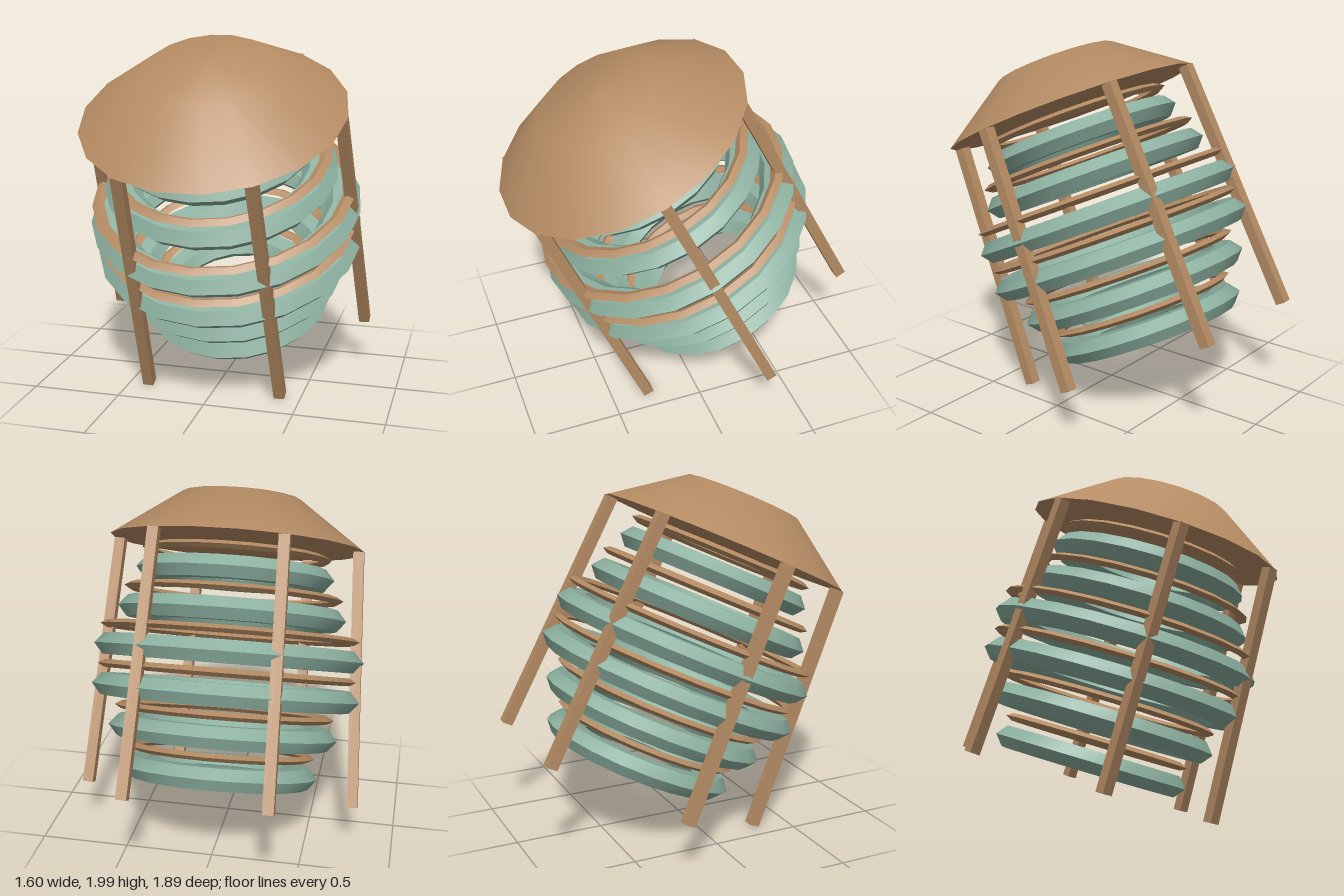
import * as THREE from 'three';
import { toCreasedNormals } from 'three/addons/utils/BufferGeometryUtils.js';

const wood = new THREE.MeshStandardMaterial({ color: 0xb58c64 });
wood.name = 'brown wood';
const teal = new THREE.MeshStandardMaterial({ color: 0x8cb0a0 });
teal.name = 'pale teal';

function addMesh(parent, name, geometry, material) {
  const mesh = new THREE.Mesh(geometry, material);
  mesh.name = name;
  parent.add(mesh);
  return mesh;
}

// Horizontal hoop with a faceted, flattened cross-section
function hoopGeometry(outerRadius, tube, sides, flatten) {
  const g = new THREE.TorusGeometry(outerRadius - tube, tube, sides, 20);
  g.rotateX(Math.PI / 2);
  g.scale(1, flatten, 1);
  return toCreasedNormals(g, 0.6);
}

export function createModel() {
  const model = new THREE.Group();
  model.name = 'tiltedHoopShelter';

  // Everything leans forward together; local y = 0 is the roof rim
  const body = new THREE.Group();
  body.name = 'leaningBody';
  body.position.set(0, 1.605, 0.29);
  body.rotation.x = THREE.MathUtils.degToRad(25);
  model.add(body);

  // Shallow domed roof with a flat underside
  const step = Math.PI / 9;
  const profile = [[0.73, 0], [0.345, 0.277], [0, 0.304]].map(([r, y]) => new THREE.Vector2(r, y));
  addMesh(body, 'roof', new THREE.LatheGeometry(profile, 18, step / 2), wood);
  const underside = new THREE.CircleGeometry(0.73, 18);
  underside.rotateX(Math.PI / 2);
  addMesh(body, 'roofUnderside', underside, wood);

  // Barrel of thick hoops, each with a thin wooden hoop above it
  [0.57, 0.655, 0.772, 0.768, 0.655, 0.56].forEach((radius, i) => {
    const y = -0.172 - i * 0.226;
    const hoop = addMesh(body, 'barrelHoop' + (i + 1), hoopGeometry(radius, 0.1, 6, 0.7), teal);
    hoop.position.y = y;
    const band = addMesh(body, 'thinHoop' + (i + 1), hoopGeometry(radius - 0.025, 0.035, 4, 0.6), wood);
    band.position.y = y + 0.114;
  });

  // Six square legs, splayed slightly outward
  const up = new THREE.Vector3(0, 1, 0);
  for (let i = 0; i < 6; i++) {
    const a = (i * Math.PI) / 3;
    const top = new THREE.Vector3(0.695 * Math.cos(a), 0, 0.695 * Math.sin(a));
    const foot = new THREE.Vector3(0.77 * Math.cos(a), -1.435, 0.77 * Math.sin(a));
    const axis = top.clone().sub(foot);
    const leg = addMesh(body, 'leg' + (i + 1), new THREE.BoxGeometry(0.06, axis.length(), 0.06), wood);
    leg.position.copy(top).add(foot).multiplyScalar(0.5);
    leg.quaternion.setFromUnitVectors(up, axis.normalize());
  }
  return model;
}
